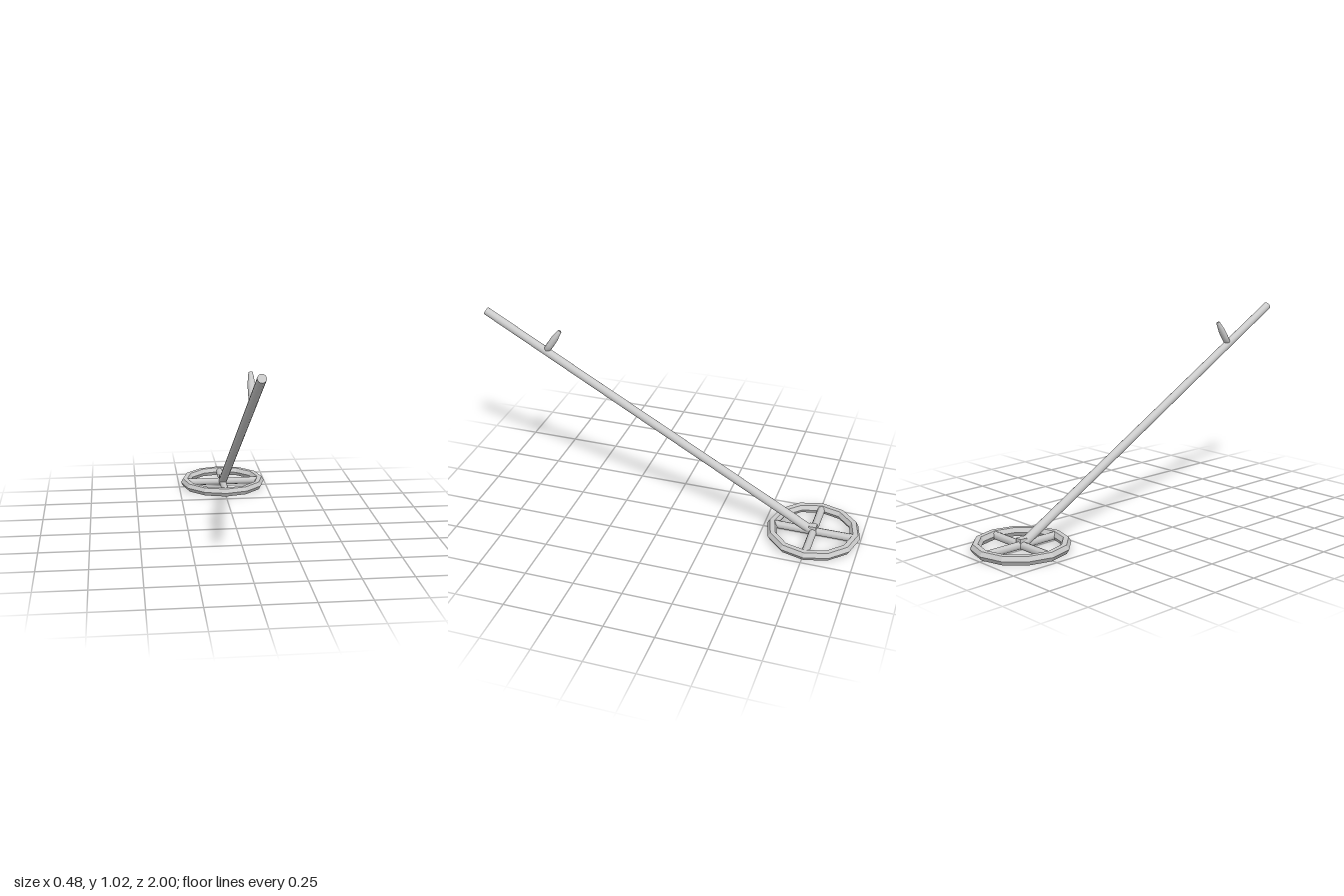
import * as THREE from 'three';

const flat = new THREE.MeshStandardMaterial({ color: 0xcccccc, flatShading: true });
const smooth = new THREE.MeshStandardMaterial({ color: 0xcccccc });
const UP = new THREE.Vector3(0, 1, 0);

// Stands a geometry built along +y on point a, pointing to point b.
function aim(mesh, a, b) {
  mesh.position.copy(a);
  mesh.quaternion.setFromUnitVectors(UP, b.clone().sub(a).normalize());
  return mesh;
}

// Round bar between two points, with its own radius at each end.
function bar(name, a, b, rA, rB, sides, material) {
  const length = a.distanceTo(b);
  const geometry = new THREE.CylinderGeometry(rB, rA, length, sides).translate(0, length / 2, 0);
  const mesh = aim(new THREE.Mesh(geometry, material), a, b);
  mesh.name = name;
  return mesh;
}

export function createModel() {
  const model = new THREE.Group();
  model.name = 'poleWithBasket';
  const v = (x, y, z) => new THREE.Vector3(x, y, z);
  const centre = v(0, 0.025, -0.76);

  // Low-poly hexagonal ring lying flat
  const ring = new THREE.Mesh(new THREE.TorusGeometry(0.215, 0.025, 6, 12), flat);
  ring.name = 'basketRing';
  ring.rotation.x = Math.PI / 2;
  ring.position.copy(centre);
  model.add(ring);

  // Two crossing spokes
  for (const [name, reach] of [['crossSpoke', v(0.21, 0, 0)], ['lengthSpoke', v(0, 0, 0.21)]]) {
    model.add(bar(name, centre.clone().sub(reach), centre.clone().add(reach), 0.02, 0.02, 8, smooth));
  }

  // Small hub where the pole meets the spokes
  const hub = new THREE.Mesh(new THREE.BoxGeometry(0.036, 0.05, 0.038), flat);
  hub.name = 'hub';
  hub.position.set(0, 0.034, -0.757);
  model.add(hub);

  // Long leaning pole, slightly thicker at the foot
  model.add(bar('pole', v(0, 0.02, -0.765), v(0, 1.0, 0.987), 0.0228, 0.0205, 16, smooth));

  // Short peg handle with a tapered tip
  const profile = [[0, 0], [0.017, 0], [0.018, 0.04], [0.0175, 0.085], [0.01, 0.14], [0, 0.14]];
  const peg = new THREE.Mesh(
    new THREE.LatheGeometry(profile.map(([r, y]) => new THREE.Vector2(r, y)), 12), smooth);
  peg.name = 'pegHandle';
  model.add(aim(peg, v(0, 0.827, 0.665), v(0, 0.943, 0.588)));

  return model;
}
